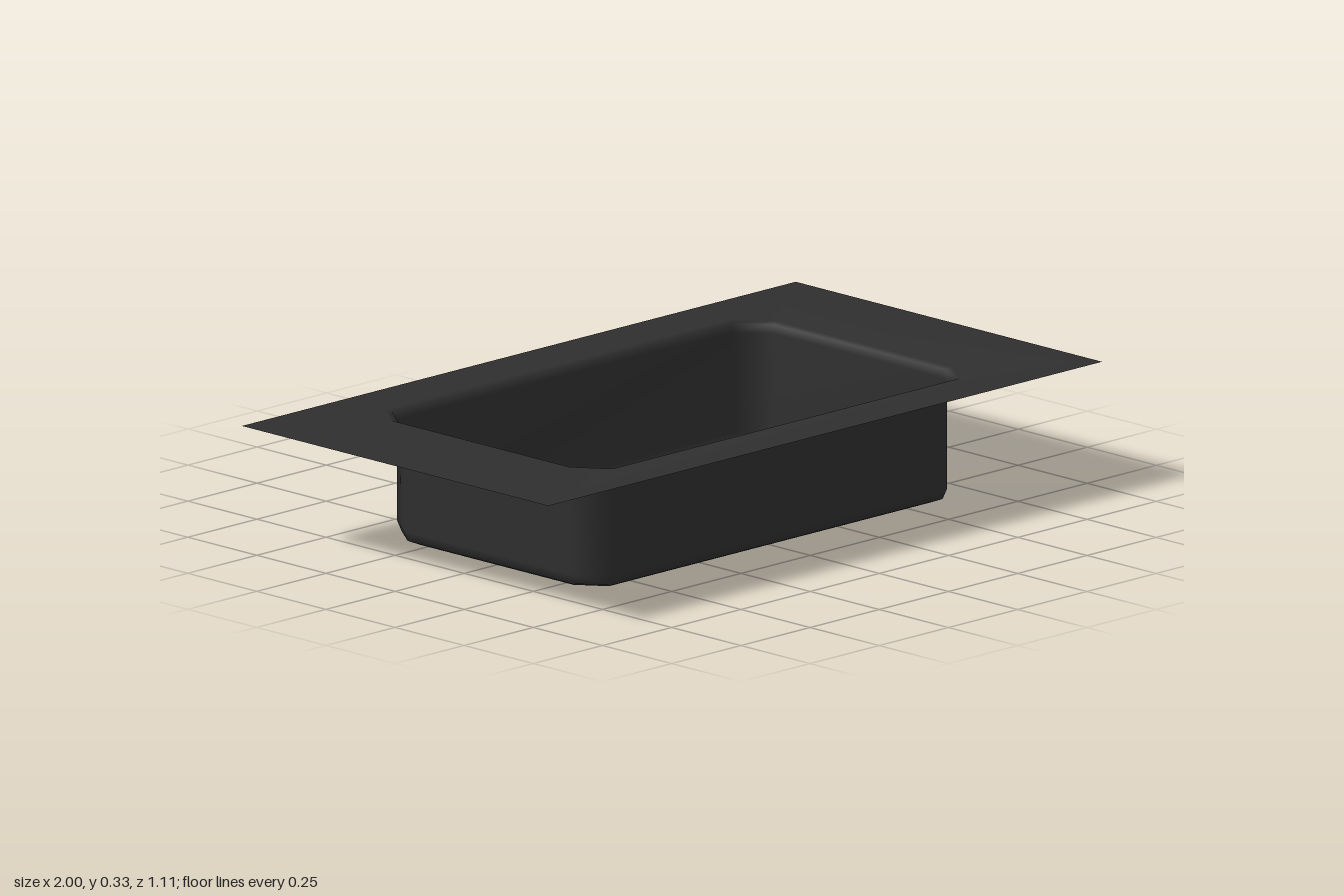
import * as THREE from 'three';

// Eight-sided outline: a rectangle with half sizes hx, hz and corners cut by cx, cz
function outline(hx, hz, cx, cz) {
  return [
    [hx, -hz + cz], [hx, hz - cz], [hx - cx, hz], [-hx + cx, hz],
    [-hx, hz - cz], [-hx, -hz + cz], [-hx + cx, -hz], [hx - cx, -hz],
  ];
}

// Smooth skin through stacked outlines, closed by a floor over the last one
function loftSkin(rings) {
  const positions = [], index = [], n = 8;
  rings.forEach(([y, ...size]) => {
    outline(...size).forEach(([x, z]) => positions.push(x, y, z));
  });
  for (let r = 0; r < rings.length - 1; r++) {
    for (let i = 0; i < n; i++) {
      const a = r * n + i, b = r * n + (i + 1) % n;
      index.push(a, a + n, b, b, a + n, b + n);
    }
  }
  const last = (rings.length - 1) * n;
  for (let i = 1; i < n - 1; i++) index.push(last, last + i + 1, last + i);
  const geometry = new THREE.BufferGeometry();
  geometry.setAttribute('position', new THREE.Float32BufferAttribute(positions, 3));
  geometry.setIndex(index);
  geometry.computeVertexNormals();
  return geometry;
}

export function createModel() {
  const group = new THREE.Group();
  group.name = 'insetBasin';
  const charcoal = new THREE.MeshStandardMaterial({ color: 0x2f2f2f, side: THREE.DoubleSide });
  charcoal.name = 'charcoal';

  // y, half width, half depth, corner cut in x, corner cut in z
  const rings = [
    [0.332, 1, 0.554, 0, 0],             // edge of the flat rim
    [0.332, 0.692, 0.412, 0.066, 0.09],  // start of the rolled lip
    [0.326, 0.677, 0.399, 0.064, 0.088],
    [0.306, 0.668, 0.388, 0.062, 0.086], // top of the wall
    [0.04, 0.668, 0.388, 0.062, 0.086],  // bottom of the wall
    [0.012, 0.659, 0.379, 0.06, 0.083],
    [0, 0.632, 0.35, 0.054, 0.074],      // floor
  ];
  const basin = new THREE.Mesh(loftSkin(rings), charcoal);
  basin.name = 'rimAndBasin';
  group.add(basin);
  return group;
}
